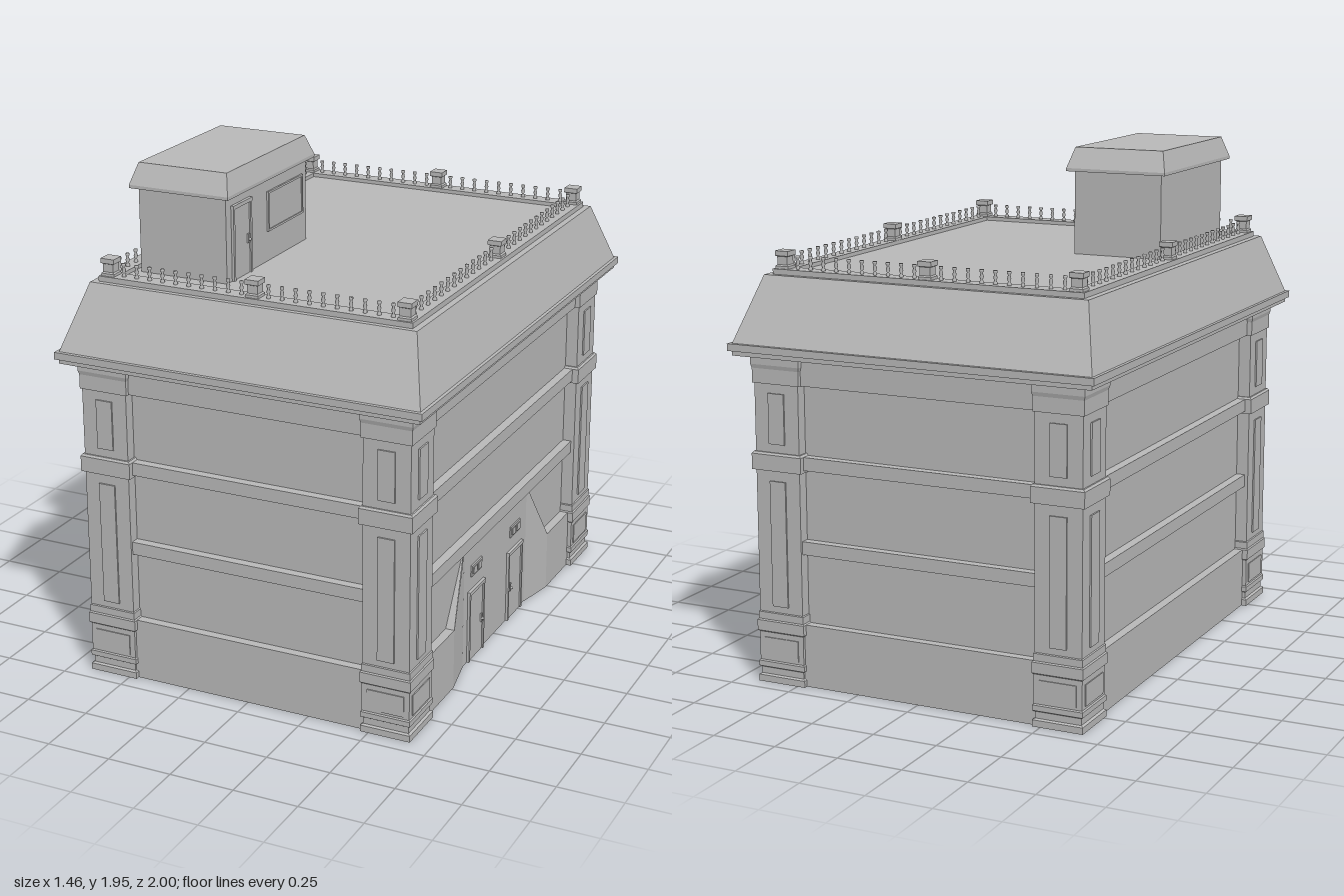
import * as THREE from 'three';

const stone = new THREE.MeshStandardMaterial({ color: 0xb8b8b8, side: THREE.DoubleSide });
stone.name = 'grey stone';

// Flat quads between two rows of [x, y, z] points
function strip(out, A, B) {
  for (let i = 0; i < A.length - 1; i++) {
    const [a, b, c, d] = [A[i], A[i + 1], B[i + 1], B[i]];
    out.push(...a, ...b, ...c, ...a, ...c, ...d);
  }
  return out;
}

function flat(positions) {
  const g = new THREE.BufferGeometry();
  g.setAttribute('position', new THREE.Float32BufferAttribute(positions, 3));
  g.computeVertexNormals();
  return g;
}

// Rectangular loft through [halfX, halfZ, y] levels, top closed if wanted
function loft(levels, cx = 0, cz = 0, cap = true) {
  const ring = ([hx, hz, y]) => [[1, 1], [1, -1], [-1, -1], [-1, 1], [1, 1]]
    .map(([sx, sz]) => [cx + sx * hx, y, cz + sz * hz]);
  const out = [];
  for (let i = 0; i < levels.length - 1; i++) strip(out, ring(levels[i]), ring(levels[i + 1]));
  if (cap) {
    const r = ring(levels[levels.length - 1]);
    out.push(...r[0], ...r[1], ...r[2], ...r[0], ...r[2], ...r[3]);
  }
  return flat(out);
}

function add(parent, name, geometry, x = 0, y = 0, z = 0) {
  const m = new THREE.Mesh(geometry, stone);
  m.name = name;
  m.position.set(x, y, z);
  parent.add(m);
  return m;
}

// Box given by its centre and size
const box = (p, name, x, y, z, w, h, d) => add(p, name, new THREE.BoxGeometry(w, h, d), x, y, z);

const WX = 0.61, WZ = 0.885;   // wall half sizes
const BX = 0.645, BZ = 0.92;   // base half sizes
const FLARE = 0.487, ENTRY = 0.32;

function addWalls(g) {
  // Walls with projecting string courses, open below
  const levels = [[WX, WZ, 0.24]];
  for (const [y0, y1] of [[0.51, 0.56], [0.83, 0.88], [1.145, 1.235]]) {
    levels.push([WX, WZ, y0], [BX, BZ, y0], [BX, BZ, y1], [WX, WZ, y1]);
  }
  levels.push([WX, WZ, 1.255]);
  add(g, 'walls', loft(levels, 0, 0, false));

  // Base course on three sides, broken at the entrance
  const plan = (hx, hz, y) => [[hx, y, -FLARE], [hx, y, -hz], [-hx, y, -hz],
    [-hx, y, hz], [hx, y, hz], [hx, y, FLARE]];
  const base = strip([], plan(BX, BZ, 0), plan(BX, BZ, 0.215));
  strip(base, plan(BX, BZ, 0.215), plan(BX, BZ, 0.24));
  strip(base, plan(BX, BZ, 0.24), plan(WX, WZ, 0.24));
  add(g, 'baseCourse', flat(base));

  // Entrance wall and its slanted cheeks
  const entry = strip([], [[WX, 0, FLARE], [WX, 0, -FLARE]], [[WX, 0.24, FLARE], [WX, 0.24, -FLARE]]);
  strip(entry, [[BX, 0, FLARE], [WX + 0.002, 0, ENTRY]], [[BX, 0.24, FLARE], [WX + 0.002, 0.51, ENTRY]]);
  strip(entry, [[WX + 0.002, 0, -ENTRY], [BX, 0, -FLARE]], [[WX + 0.002, 0.51, -ENTRY], [BX, 0.24, -FLARE]]);
  entry.push(BX, 0.24, FLARE, WX, 0.51, ENTRY, WX, 0.24, FLARE);
  entry.push(BX, 0.24, -FLARE, WX, 0.24, -FLARE, WX, 0.51, -ENTRY);
  add(g, 'entranceWall', flat(entry));
}

function addDoor(g, x, y, z, w, h, knobSide) {
  const d = new THREE.Group();
  d.name = 'door';
  d.position.set(x, y, z);
  box(d, 'doorLeaf', 0.002, h / 2, 0, 0.004, h, w);
  for (const s of [-1, 1]) box(d, 'doorJamb', 0.005, h / 2, s * w / 2, 0.01, h, 0.012);
  box(d, 'doorLintel', 0.006, h, 0, 0.012, 0.014, w + 0.014);
  box(d, 'doorPlate', 0.007, h * 0.48, knobSide * w * 0.35, 0.006, 0.035, 0.01);
  add(d, 'doorKnob', new THREE.SphereGeometry(0.006, 8, 6), 0.014, h * 0.47, knobSide * w * 0.35);
  g.add(d);
}

function addPillars(g) {
  // [outset, y] profile around each corner pillar
  const profile = [[0.005, 0], [0.005, 0.025], [-0.004, 0.03], [-0.004, 0.055], [0.004, 0.06], [0.004, 0.08],
    [0, 0.085], [0, 0.195], [0.006, 0.2], [0.006, 0.24], [0.002, 0.245], [0.002, 0.272], [-0.002, 0.275],
    [-0.002, 0.82], [0.01, 0.82], [0.01, 0.88], [0.004, 0.888], [-0.002, 0.888], [-0.002, 1.145],
    [0.004, 1.145], [0.004, 1.2], [0.008, 1.215], [0.008, 1.245], [0.004, 1.255]];
  const cx = 0.567, cz = 0.832, hx = 0.094, hz = 0.1;
  for (const sx of [-1, 1]) for (const sz of [-1, 1]) {
    const p = new THREE.Group();
    p.name = 'cornerPillar';
    p.position.set(sx * cx, 0, sz * cz);
    add(p, 'pillarShaft', loft(profile.map(([o, y]) => [hx + o, hz + o, y]), 0, 0, false));
    // Narrow shaft panels and a wide pedestal panel on both outer faces
    for (const [y0, y1, w] of [[0.3, 0.78, 0.066], [0.92, 1.11, 0.066], [0.095, 0.175, 0.145]]) {
      box(p, 'pillarPanel', 0, (y0 + y1) / 2, sz * hz, w, y1 - y0, 0.008);
      box(p, 'pillarPanel', sx * hx, (y0 + y1) / 2, 0, 0.008, y1 - y0, w + 0.006);
    }
    g.add(p);
  }
}

function addRoof(g) {
  // Cornice, sloping sides, kerb and flat deck
  add(g, 'roof', loft([[0.6, 0.88, 1.25], [0.715, 0.988, 1.25], [0.715, 0.988, 1.268], [0.728, 1, 1.268],
    [0.728, 1, 1.295], [0.715, 0.985, 1.295], [0.647, 0.865, 1.535], [0.622, 0.845, 1.535],
    [0.622, 0.845, 1.555], [0.56, 0.78, 1.555], [0.56, 0.78, 1.54]]));

  // Balustrade posts
  const PX = 0.588, PZ = 0.812;
  const posts = [[0, PZ], [0, -PZ], [PX, 0], [-PX, 0], [PX, PZ], [PX, -PZ], [-PX, PZ], [-PX, -PZ]];
  for (const [x, z] of posts) {
    add(g, 'balustradePost', loft([[0.026, 0.026, 1.555], [0.026, 0.026, 1.565], [0.021, 0.021, 1.57],
      [0.021, 0.021, 1.6], [0.027, 0.027, 1.603], [0.027, 0.027, 1.621]], x, z));
  }

  // Balusters in rows between the posts
  const turned = new THREE.LatheGeometry([[0.008, 0], [0.008, 0.007], [0.004, 0.012], [0.008, 0.024],
    [0.004, 0.036], [0.008, 0.042], [0.008, 0.049], [0, 0.049]].map(([r, y]) => new THREE.Vector2(r, y)), 8);
  const row = (n, length, place) => {
    for (let i = 1; i <= n; i++) for (const s of [-1, 1]) for (const e of [-1, 1]) {
      const [x, z] = place(s * i * length / (n + 1), e);
      add(g, 'baluster', turned, x, 1.555, z);
    }
  };
  row(10, PX, (t, e) => [t, e * PZ]);
  row(13, PZ, (t, e) => [e * PX, t]);
}

function addRoofHouse(g) {
  const h = new THREE.Group();
  h.name = 'roofHouse';
  h.position.set(-0.355, 0, 0.375);
  add(h, 'roofHouseWalls', loft([[0.178, 0.317, 1.54], [0.178, 0.317, 1.87]]));
  add(h, 'roofHouseRoof', loft([[0.17, 0.31, 1.86], [0.202, 0.345, 1.86], [0.202, 0.345, 1.872],
    [0.18, 0.308, 1.95]]));
  addDoor(h, 0.178, 1.54, 0.207, 0.13, 0.275, -1);
  // Window pane and frame
  box(h, 'windowPane', 0.179, 1.73, -0.14, 0.004, 0.14, 0.27);
  for (const s of [-1, 1]) {
    box(h, 'windowFrame', 0.181, 1.73 + s * 0.072, -0.14, 0.008, 0.008, 0.284);
    box(h, 'windowFrame', 0.181, 1.73, -0.14 + s * 0.138, 0.008, 0.14, 0.008);
  }
  g.add(h);
}

export function createModel() {
  const g = new THREE.Group();
  g.name = 'building';
  addWalls(g);
  addPillars(g);
  addRoof(g);
  addRoofHouse(g);
  // Twin entrance doors with a wall vent above each
  for (const s of [-1, 1]) {
    addDoor(g, WX, 0, s * 0.2, 0.14, 0.29, -s);
    box(g, 'wallVent', WX, 0.375, s * 0.2, 0.012, 0.045, 0.1);
    for (const t of [-1, 1]) box(g, 'ventSlot', WX + 0.007, 0.375, s * 0.2 + t * 0.023, 0.006, 0.028, 0.034);
  }
  return g;
}
